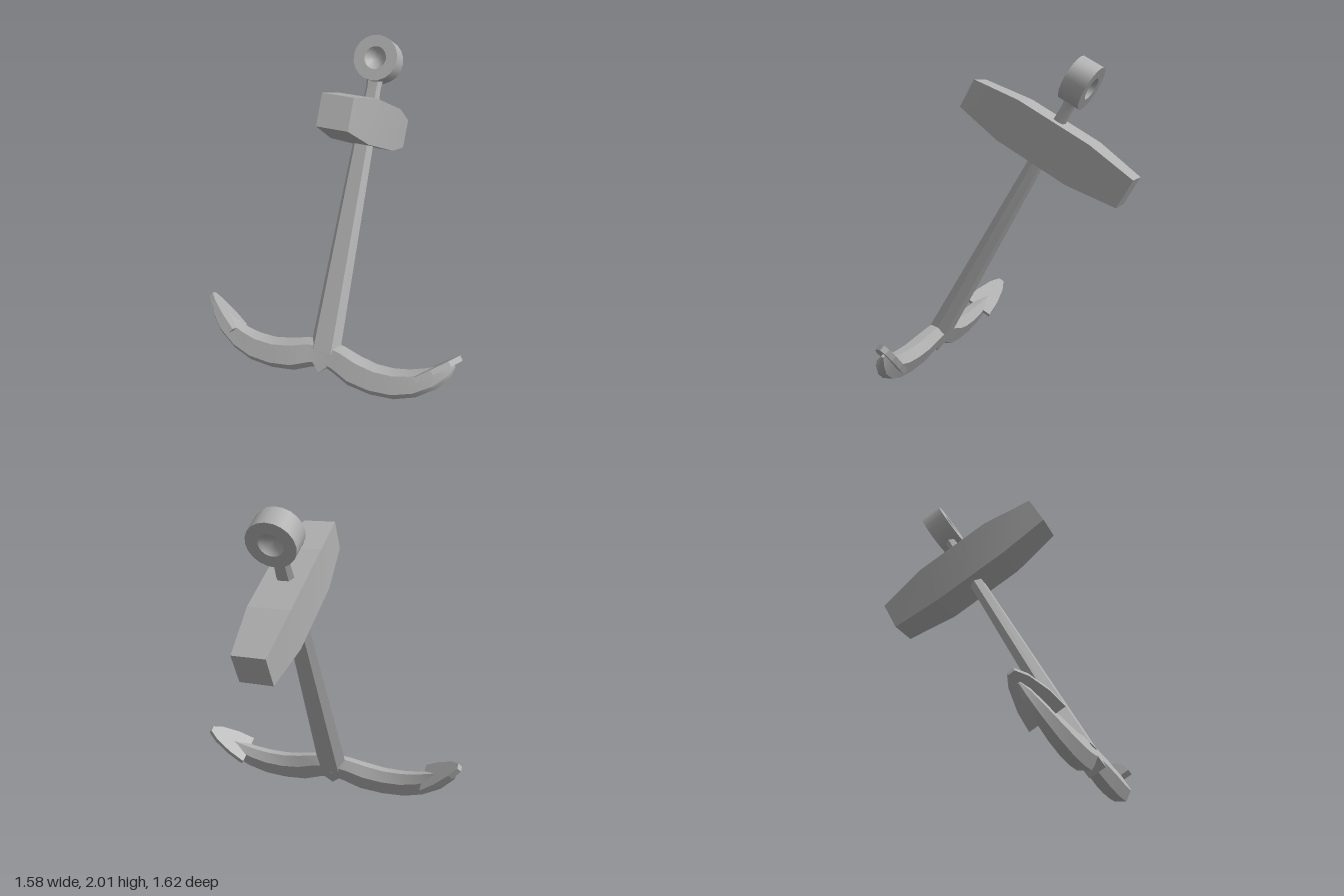
import * as THREE from 'three';
import { toCreasedNormals } from 'three/addons/utils/BufferGeometryUtils.js';

// Sweeps a flat-sided hexagon along stations [x, y, halfWidth] lying in the xy plane.
function hexLoft(stations) {
  const hex = [[1, 0], [0.6, 0.6], [-0.6, 0.6], [-1, 0], [-0.6, -0.6], [0.6, -0.6]];
  const pos = [];
  const index = [];
  const last = stations.length - 1;
  stations.forEach(([x, y, w], i) => {
    const a = stations[Math.max(i - 1, 0)];
    const b = stations[Math.min(i + 1, last)];
    const t = new THREE.Vector2(b[0] - a[0], b[1] - a[1]).normalize();
    for (const [n, z] of hex) pos.push(x - t.y * n * w, y + t.x * n * w, z * w);
  });
  for (let i = 0; i < last; i++) {
    for (let j = 0; j < 6; j++) {
      const a = i * 6 + j;
      const b = i * 6 + (j + 1) % 6;
      index.push(a, b, b + 6, a, b + 6, a + 6);
    }
  }
  for (let j = 1; j < 5; j++) {
    index.push(0, j + 1, j, last * 6, last * 6 + j, last * 6 + j + 1);
  }
  const g = new THREE.BufferGeometry();
  g.setAttribute('position', new THREE.Float32BufferAttribute(pos, 3));
  g.setIndex(index);
  return toCreasedNormals(g, 0.7);
}

export function createModel() {
  const iron = new THREE.MeshStandardMaterial({ color: 0xb0b0b0 });
  iron.name = 'grey iron';
  const model = new THREE.Group();
  model.name = 'anchor';
  const add = (name, geometry) => {
    const mesh = new THREE.Mesh(geometry, iron);
    mesh.name = name;
    model.add(mesh);
    return mesh;
  };

  // Tapered shank, running through the stock up to the ring
  add('shank', hexLoft([[0, -0.02, 0.104], [0, 1.42, 0.068], [0, 1.72, 0.05], [0, 1.79, 0.056]]));

  // Ring with a dished eye on both faces
  const profile = [[0, 0.02], [0.04, 0.035], [0.062, 0.055], [0.072, 0.072], [0.145, 0.072]];
  const ringPoints = [
    ...profile.map(([r, y]) => new THREE.Vector2(r, -y)),
    ...profile.reverse().map(([r, y]) => new THREE.Vector2(r, y)),
  ];
  const ring = new THREE.LatheGeometry(ringPoints, 20);
  ring.rotateX(Math.PI / 2);
  add('ring', toCreasedNormals(ring, 0.7)).position.y = 1.908;

  // Stock: a square bar, thicker in the middle
  const stock = new THREE.BoxGeometry(0.198, 0.196, 1.175, 1, 1, 3);
  const p = stock.attributes.position;
  for (let i = 0; i < p.count; i++) {
    if (Math.abs(p.getZ(i)) < 0.4) {
      p.setXYZ(i, p.getX(i) * 1.28, p.getY(i) * 1.45, Math.sign(p.getZ(i)) * 0.26);
    }
  }
  add('stock', toCreasedNormals(stock, 0.1)).position.y = 1.498;

  // Both arms in one sweep through the crown
  const half = [
    [0.1, -0.055, 0.098], [0.22, -0.1, 0.108], [0.36, -0.122, 0.104], [0.5, -0.115, 0.1],
    [0.62, -0.08, 0.09], [0.74, -0.015, 0.07], [0.82, 0.055, 0.045], [0.86, 0.1, 0.012],
  ];
  const mirrored = half.map(([x, y, w]) => [-x, y, w]).reverse();
  add('arms', hexLoft([...mirrored, [0, -0.035, 0.09], ...half]));

  // Pointed block under the crown
  const point = add('crownPoint', new THREE.BoxGeometry(0.078, 0.078, 0.11));
  point.position.y = -0.105;
  point.rotation.z = Math.PI / 4;

  // Leaf-shaped flukes across the arm ends
  const edge = [[0, 0.108], [0.12, 0.093], [0.24, 0.058], [0.305, 0.02]];
  const outline = [...edge.map(([x, y]) => [x, -y]), ...edge.slice().reverse()];
  const leaf = new THREE.Shape(outline.map(([x, y]) => new THREE.Vector2(x, y)));
  const fluke = new THREE.ExtrudeGeometry(leaf, { depth: 0.036, bevelEnabled: false });
  fluke.translate(0, 0, -0.018);
  fluke.rotateX(-Math.PI / 2);
  fluke.rotateZ(0.66);
  fluke.translate(0.65, -0.03, 0);
  add('leftFluke', fluke);
  add('rightFluke', fluke).rotation.y = Math.PI;

  // Lean the anchor back and turn it to its resting pose
  model.rotation.set(-Math.PI / 6, Math.PI / 6, 0, 'YXZ');
  model.position.set(0.037, 0.197, 0.373);
  const root = new THREE.Group();
  root.name = 'leaningAnchor';
  root.add(model);
  return root;
}
